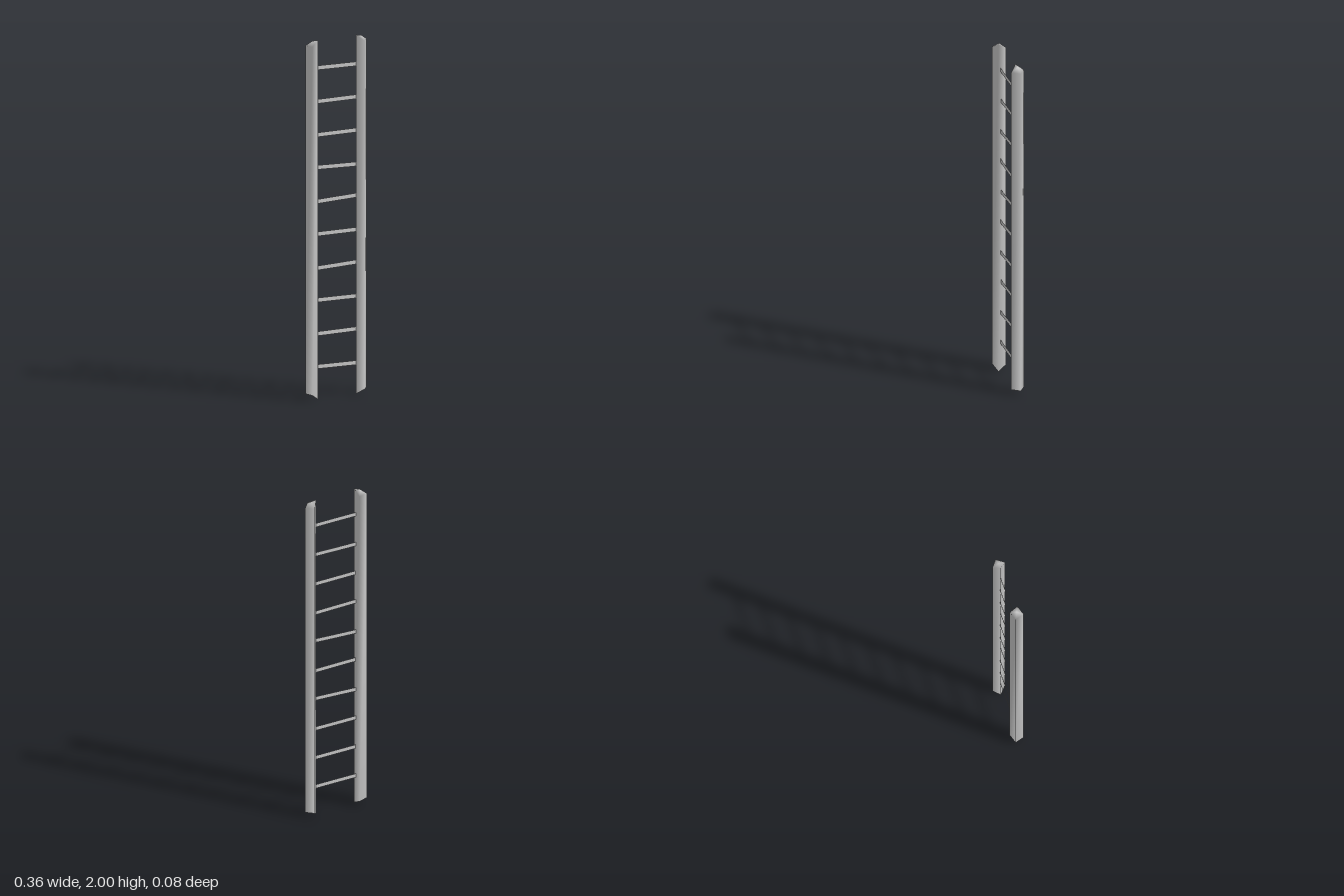
import * as THREE from 'three';

const material = new THREE.MeshStandardMaterial({ color: 0xcccccc });
const thinMaterial = new THREE.MeshStandardMaterial({ color: 0xcccccc, side: THREE.DoubleSide });

// Four-cornered upright post; corners are [x, z], the first being the inner one,
// which reaches further up and down than the rest.
function rail(name, corners) {
  const n = corners.length;
  const cx = corners.reduce((s, c) => s + c[0], 0) / n;
  const cz = corners.reduce((s, c) => s + c[1], 0) / n;
  const positions = [];
  corners.forEach(([x, z], i) => positions.push(x, i ? 0.035 : 0.005, z));
  corners.forEach(([x, z], i) => positions.push(x, i ? 1.97 : 2, z));
  positions.push(cx, 0.032, cz, cx, 1.995, cz);
  const index = [];
  for (let i = 0; i < n; i++) {
    const j = (i + 1) % n;
    index.push(i, j, n + j, i, n + j, n + i); // side
    index.push(2 * n, j, i, 2 * n + 1, n + i, n + j); // end caps
  }
  const geometry = new THREE.BufferGeometry();
  geometry.setAttribute('position', new THREE.Float32BufferAttribute(positions, 3));
  geometry.setIndex(index);
  geometry.computeVertexNormals();
  const mesh = new THREE.Mesh(geometry, material);
  mesh.name = name;
  return mesh;
}

// Thin, slightly skewed slat between the rails
function rung(i, yLow, yHigh) {
  const geometry = new THREE.PlaneGeometry(0.26, 0.024, 4, 1);
  const p = geometry.attributes.position;
  for (let k = 0; k < p.count; k++) {
    const t = p.getX(k) / 0.26 + 0.5;
    p.setY(k, p.getY(k) + yLow + (yHigh - yLow) * t);
    p.setZ(k, -0.003 + 0.002 * Math.sin(i * 2.1 + t * 2));
  }
  geometry.computeVertexNormals();
  const mesh = new THREE.Mesh(geometry, thinMaterial);
  mesh.name = `rung${i + 1}`;
  return mesh;
}

export function createModel() {
  const ladder = new THREE.Group();
  ladder.name = 'ladder';

  // Rails, each turned a little differently; corners run inner, back/front, outer
  ladder.add(rail('rightRail', [[-0.122, 0.011], [-0.131, -0.036], [-0.182, -0.02], [-0.167, 0.031]]));
  ladder.add(rail('leftRail', [[0.113, 0], [0.147, 0.037], [0.181, -0.006], [0.14, -0.039]]));

  // Rungs: height at each end, bottom to top
  const heights = [
    [0.183, 0.178], [0.366, 0.365], [0.552, 0.548], [0.73, 0.738], [0.92, 0.917],
    [1.099, 1.108], [1.29, 1.281], [1.471, 1.469], [1.655, 1.655], [1.843, 1.838],
  ];
  heights.forEach(([a, b], i) => ladder.add(rung(i, a, b)));
  return ladder;
}
